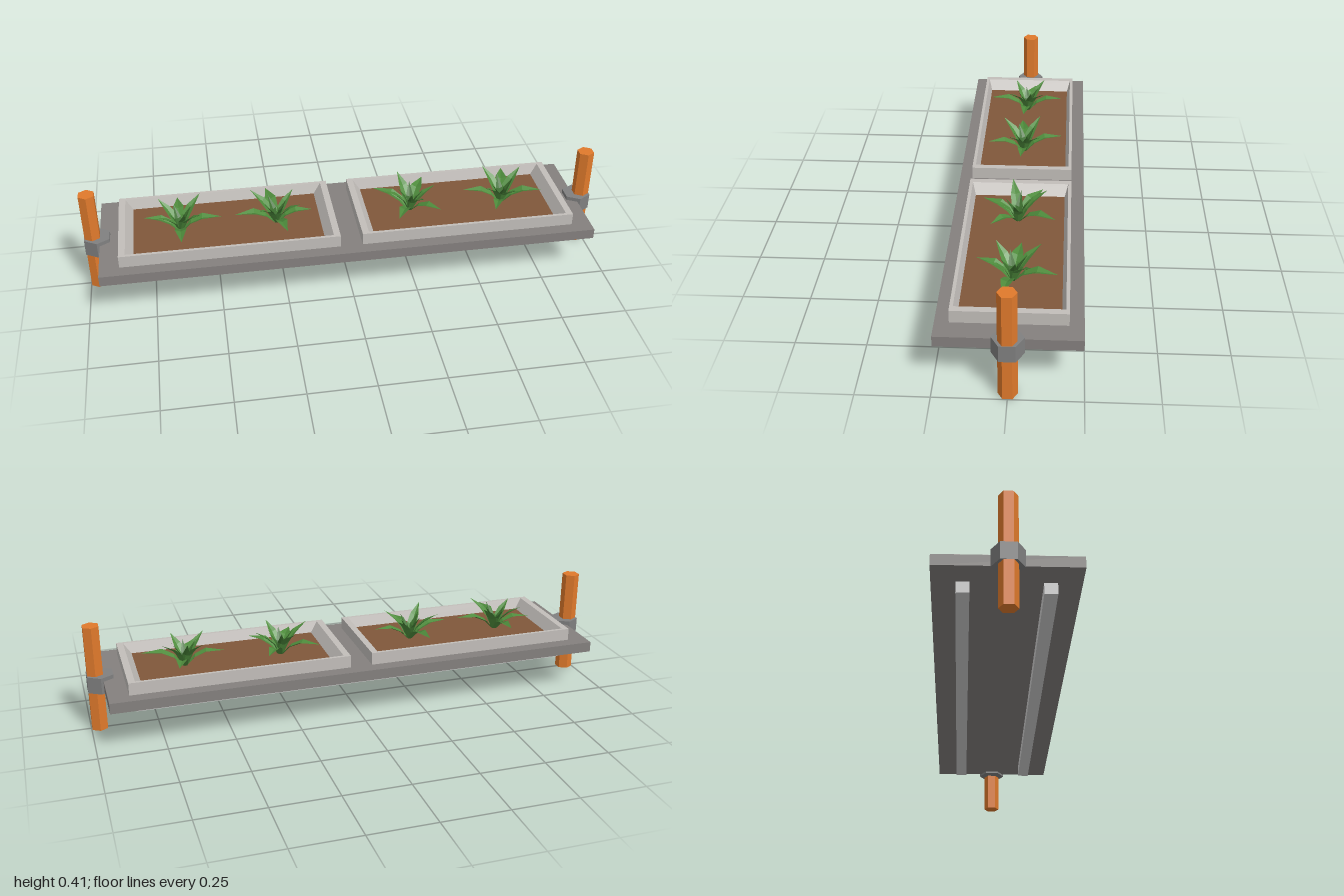
import * as THREE from 'three';

const mat = (color, side = THREE.FrontSide) =>
  new THREE.MeshStandardMaterial({ color, side, flatShading: true });

const slabMat = mat(0x84807e);
const trayMat = mat(0xc2beba);
const railMat = mat(0xcccccc);
const collarMat = mat(0x808080);
const postMat = mat(0xe07a2c);
const soilMat = mat(0x80573a);
const leafMat = mat(0x4e8c3c, THREE.DoubleSide);
const heartMat = mat(0x3c702e, THREE.DoubleSide);

function add(parent, name, geometry, material, x = 0, y = 0, z = 0) {
  const mesh = new THREE.Mesh(geometry, material);
  mesh.name = name;
  mesh.position.set(x, y, z);
  parent.add(mesh);
  return mesh;
}

function meshFrom(points, index) {
  const g = new THREE.BufferGeometry();
  g.setAttribute('position', new THREE.Float32BufferAttribute(points.flat(), 3));
  g.setIndex(index);
  const flat = g.toNonIndexed();
  flat.computeVertexNormals();
  return flat;
}

// Rectangular wall ring lofted through [halfX, y, halfZ] sections
function trayWalls(sections) {
  const points = [];
  const index = [];
  for (const [x, y, z] of sections) points.push([-x, y, z], [x, y, z], [x, y, -z], [-x, y, -z]);
  for (let s = 0; s < sections.length - 1; s++) {
    for (let i = 0; i < 4; i++) {
      const a = s * 4 + i;
      const b = s * 4 + ((i + 1) % 4);
      index.push(a, b, b + 4, a, b + 4, a + 4);
    }
  }
  return meshFrom(points, index);
}

// Folded leaf along +x through [reach, height, half width] stations
function leafGeometry(stations) {
  const points = [];
  const index = [];
  for (const [r, y, w] of stations) points.push([r, y + w * 0.25, w], [r, y - w * 0.15, 0], [r, y + w * 0.25, -w]);
  for (let s = 0; s < stations.length - 1; s++) {
    for (let i = 0; i < 2; i++) {
      const a = s * 3 + i;
      index.push(a, a + 3, a + 4, a, a + 4, a + 1);
    }
  }
  return meshFrom(points, index);
}

const lowLeaf = leafGeometry([[0.008, 0, 0.01], [0.04, 0.035, 0.018], [0.085, 0.056, 0.022], [0.16, 0.056, 0]]);
const tallLeaf = leafGeometry([[0.006, 0, 0.01], [0.03, 0.05, 0.02], [0.06, 0.08, 0.017], [0.112, 0.114, 0]]);
const heartLeaf = leafGeometry([[0.004, 0, 0.009], [0.018, 0.05, 0.014], [0.05, 0.1, 0]]);

function plant(turn) {
  const group = new THREE.Group();
  group.name = 'plant';
  const tiers = [
    ['lowLeaf', lowLeaf, leafMat, 4, 0],
    ['tallLeaf', tallLeaf, leafMat, 4, 0.8],
    ['heartLeaf', heartLeaf, heartMat, 4, 0.4],
  ];
  for (const [name, geometry, material, count, offset] of tiers) {
    for (let i = 0; i < count; i++) {
      const leaf = add(group, name, geometry, material);
      leaf.rotation.y = offset + (i / count) * Math.PI * 2 + 0.15 * Math.sin(i * 2.3);
      leaf.scale.setScalar(1 - 0.06 * (i % 3));
    }
  }
  group.rotation.y = turn;
  return group;
}

function planter(x, plants) {
  const group = new THREE.Group();
  group.name = 'planter';
  group.position.x = x;
  add(group, 'trayWalls', trayWalls([
    [0.413, 0.204, 0.196], [0.413, 0.252, 0.196], [0.388, 0.252, 0.184], [0.357, 0.208, 0.17],
  ]), trayMat);
  add(group, 'soil', new THREE.BoxGeometry(0.72, 0.008, 0.345), soilMat, 0, 0.208, 0);
  for (const [px, turn] of plants) {
    const p = plant(turn);
    p.position.set(px, 0.211, 0);
    group.add(p);
  }
  return group;
}

export function createModel() {
  const model = new THREE.Group();
  model.name = 'planterShelf';

  // Shelf slab with two rails beneath
  add(model, 'slab', new THREE.BoxGeometry(1.886, 0.04, 0.49), slabMat, 0, 0.185, 0);
  for (const side of [-1, 1]) {
    add(model, 'rail', new THREE.BoxGeometry(1.69, 0.042, 0.045), railMat, 0, 0.145, side * 0.142);
  }

  // Hexagonal end posts held by collars
  for (const side of [-1, 1]) {
    add(model, 'post', new THREE.CylinderGeometry(0.033, 0.033, 0.41, 6), postMat, side * 0.969, 0.205, 0);
    add(model, 'collar', new THREE.CylinderGeometry(0.055, 0.055, 0.063, 6), collarMat, side * 0.952, 0.1885, 0);
  }

  // Two planted trays
  model.add(planter(-0.455, [[-0.18, -0.08], [0.19, 3.22]]));
  model.add(planter(0.455, [[-0.19, 2.55], [0.18, 1.3]]));
  return model;
}
